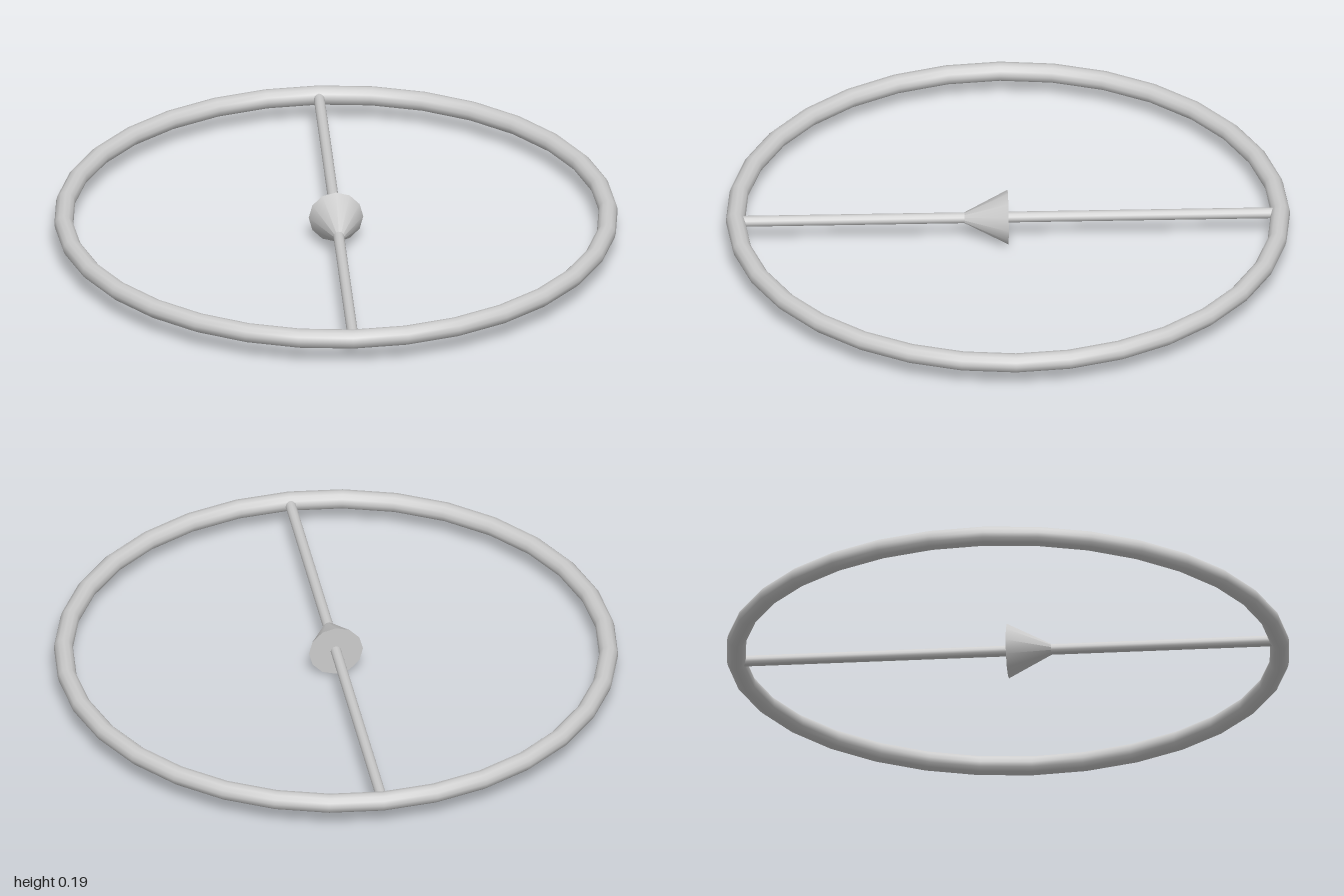
import * as THREE from 'three';

const CENTRE_Y = 0.097;   // height of the ring's plane
const RING_R = 0.966;     // ring centre-line radius
const TUBE_R = 0.034;

export function createModel() {
  const group = new THREE.Group();
  const material = new THREE.MeshStandardMaterial({ color: 0xcccccc });

  // Adds a part, turning its own y (or z) axis into the horizontal plane
  const add = (name, geometry, z = 0) => {
    const mesh = new THREE.Mesh(geometry.rotateX(Math.PI / 2), material);
    mesh.name = name;
    mesh.position.set(0, CENTRE_Y, z);
    group.add(mesh);
  };

  // Flat-lying outer ring
  add('ring', new THREE.TorusGeometry(RING_R, TUBE_R, 12, 32));

  // Rod spanning the ring from back to front
  add('rod', new THREE.CylinderGeometry(0.0193, 0.0193, RING_R * 2, 12));

  // Arrow cone with its base at the centre, pointing to the front
  const coneLength = 0.193;
  add('arrowCone', new THREE.ConeGeometry(0.097, coneLength, 12), coneLength / 2);

  return group;
}
